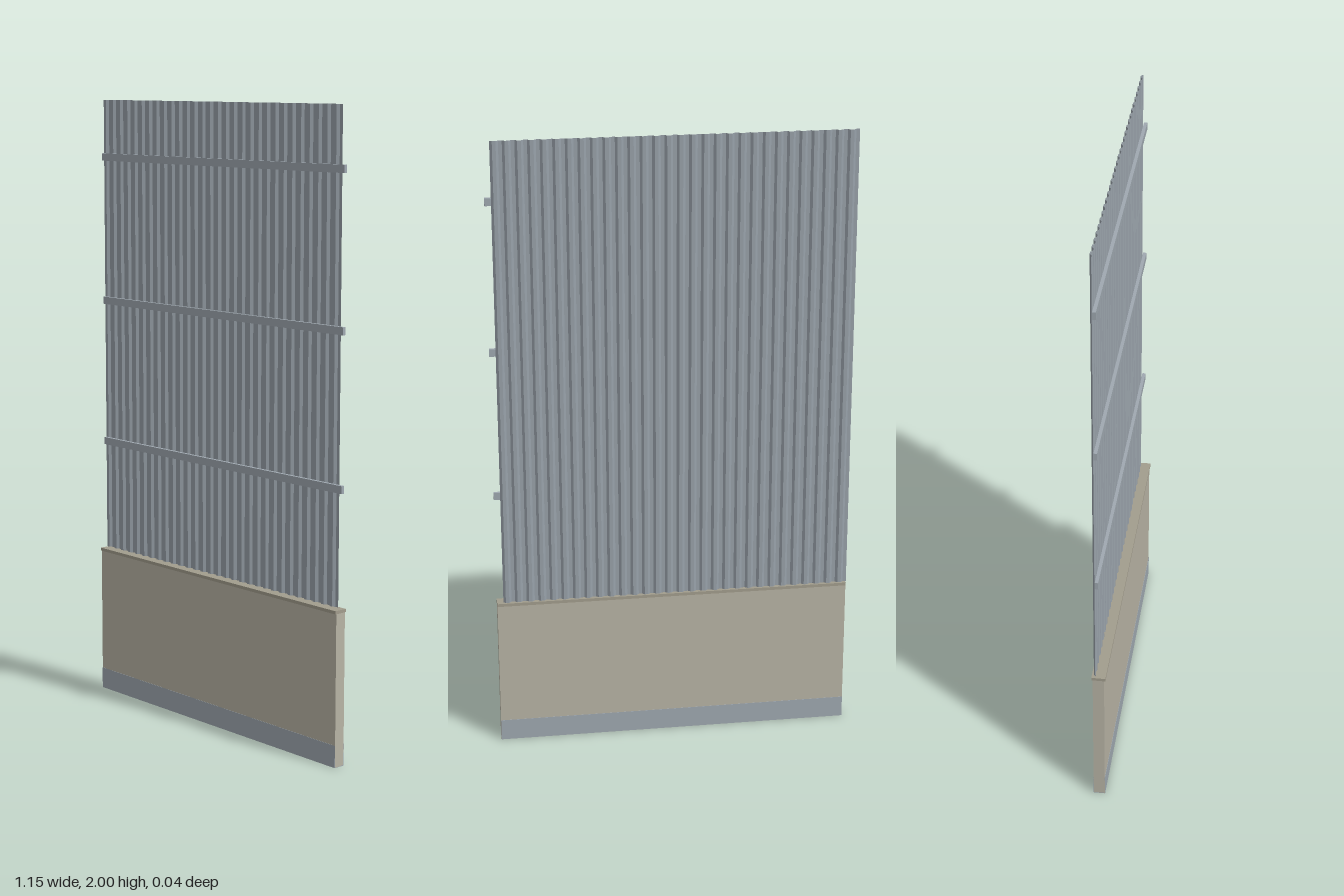
import * as THREE from 'three';

const material = (name, color, side = THREE.FrontSide) => {
  const m = new THREE.MeshStandardMaterial({ color, side });
  m.name = name;
  return m;
};

export function createModel() {
  const group = new THREE.Group();
  const concrete = material('concrete', 0xb8b4a5);
  const coping = material('coping stone', 0xa29d8d);
  const steel = material('galvanised steel', 0x9fa8b0);
  const sheetSteel = material('corrugated steel', 0x98a1a9, THREE.DoubleSide);
  sheetSteel.flatShading = true;

  const box = (name, mat, w, y0, y1, z0, z1) => {
    const mesh = new THREE.Mesh(new THREE.BoxGeometry(w, y1 - y0, z1 - z0), mat);
    mesh.position.set(0, (y0 + y1) / 2, (z0 + z1) / 2);
    mesh.name = name;
    group.add(mesh);
    return mesh;
  };

  // Low wall, its coping and the steel footing strip on both faces
  const width = 1.144;
  box('lowerWall', concrete, width, 0.001, 0.482, -0.018, 0.018);
  box('wallCoping', coping, width, 0.482, 0.492, -0.022, 0.022);
  box('footingFront', steel, width, 0, 0.07, 0.017, 0.019);
  box('footingBack', steel, width, 0, 0.07, -0.019, -0.017);
  box('footingUnderside', steel, width, 0, 0.002, -0.018, 0.018);

  // Corrugated sheet: a plane folded into trapezoidal ribs
  const ribs = 30, x0 = -0.575, x1 = 0.552, pitch = (x1 - x0) / ribs;
  const steps = [0, 0.3, 0.5, 0.8];
  const geometry = new THREE.PlaneGeometry(1, 2 - 0.492, ribs * 4, 1);
  const pos = geometry.attributes.position;
  for (let i = 0; i < pos.count; i++) {
    const column = i % (ribs * 4 + 1), k = column % 4;
    pos.setX(i, x0 + (Math.floor(column / 4) + steps[k]) * pitch);
    pos.setZ(i, k < 2 ? -0.009 : -0.016);
  }
  geometry.computeVertexNormals();
  const sheet = new THREE.Mesh(geometry, sheetSteel);
  sheet.position.y = (2 + 0.492) / 2;
  sheet.name = 'corrugatedSheet';
  group.add(sheet);

  // Horizontal rails in front of the sheet
  [0.86, 1.337, 1.813].forEach((y, i) =>
    box(`rail${i + 1}`, steel, width, y - 0.012, y + 0.012, -0.0085, 0.002));

  return group;
}
